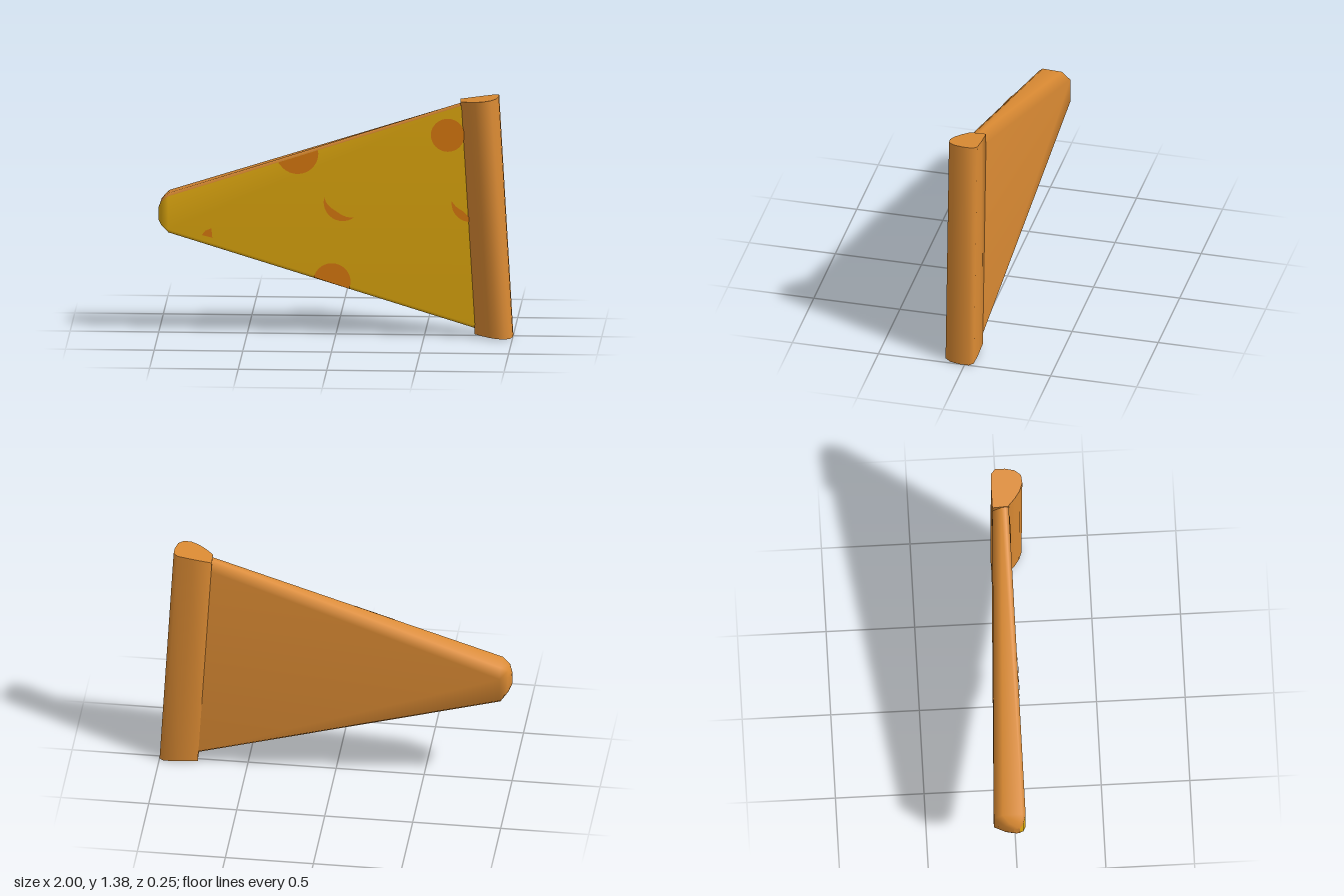
import * as THREE from 'three';

const lerp = THREE.MathUtils.lerp;
const mat = (name, color, extra = {}) => {
  const m = new THREE.MeshStandardMaterial({ color, ...extra });
  m.name = name;
  return m;
};

// Skin a list of equal-length rings; strips listed in `second` get material 1. Ends get flat caps.
function loft(rings, second = []) {
  const n = rings[0].length, pos = rings.flat(2), groups = [[], []];
  for (let j = 0; j < n; j++) {
    const out = groups[second.includes(j) ? 1 : 0];
    for (let i = 0; i < rings.length - 1; i++) {
      const k = (j + 1) % n, a = i * n + j, b = i * n + k, c = a + n, d = b + n;
      out.push(a, b, c, b, d, c);
    }
  }
  for (const last of [false, true]) {
    const base = pos.length / 3;
    pos.push(...rings[last ? rings.length - 1 : 0].flat());
    for (let j = 1; j < n - 1; j++) {
      groups[0].push(base, ...(last ? [base + j, base + j + 1] : [base + j + 1, base + j]));
    }
  }
  const g = new THREE.BufferGeometry();
  g.setAttribute('position', new THREE.Float32BufferAttribute(pos, 3));
  g.setIndex([...groups[0], ...groups[1]]);
  g.addGroup(0, groups[0].length, 0);
  g.addGroup(groups[0].length, groups[1].length, 1);
  g.computeVertexNormals();
  return g;
}

// One cross-section of the slice: x, top, bottom, front, back, bevel scale, slant of the end
function sliceRing(x, t, b, f, k, s, slant = 0) {
  return [
    [t - 0.015 * s, f], [b + 0.022 * s, f],
    [b, f - 0.025 * s], [b + 0.005 * s, k + 0.04 * s],
    [b + 0.035 * s, k], [t - 0.05 * s, k],
    [t - 0.005 * s, k + 0.05 * s], [t, f - 0.02 * s],
  ].map(([y, z]) => [x + (t - y) * slant, y, z]);
}

export function createModel() {
  const group = new THREE.Group();
  const crustMat = mat('bakedCrust', 0xda8a33);
  const cheeseMat = mat('cheese', 0xdea70e);
  const toppingMat = mat('topping', 0xd9790f, { side: THREE.DoubleSide });
  const add = (name, geo, m) => {
    const mesh = new THREE.Mesh(geo, m);
    mesh.name = name;
    group.add(mesh);
  };

  // Wedge with a cheese front and a dough back
  add('slice', loft([
    sliceRing(-1.0, 0.725, 0.65, 0.015, -0.02, 0.3),
    sliceRing(-0.985, 0.77, 0.625, 0.035, -0.07, 0.6),
    sliceRing(-0.945, 0.81, 0.583, 0.05, -0.13, 1),
    sliceRing(0.71, 1.348, 0.045, 0.042, -0.05, 1, 0.068),
  ], [0, 1]), [crustMat, cheeseMat]);

  // Rounded rim, leaning slightly outward toward the bottom
  const profile = [
    [-0.215, 0.038], [-0.17, 0.08], [-0.13, 0.108], [-0.085, 0.125], [-0.04, 0.12],
    [-0.012, 0.085], [0, 0.03], [0, -0.025], [-0.025, -0.048], [-0.11, -0.052], [-0.22, -0.051],
  ];
  const rimRing = (x, y, tilt) => profile.map(([dx, z]) => [x + dx, y + dx * tilt, z]);
  add('crustRim', loft([rimRing(1, 0.003, -0.07), rimRing(0.92, 1.385, 0.14)]), crustMat);

  // Flat toppings lying on the cheese, trimmed at the slice edges
  const topEdge = (x) => 0.795 + (x + 0.945) * 0.325;
  const bottomEdge = (x) => 0.603 - (x + 0.945) * 0.322;
  const topping = (name, pts) => {
    const shape = new THREE.Shape(pts.map(([x, y]) =>
      new THREE.Vector2(x, THREE.MathUtils.clamp(y, bottomEdge(x), topEdge(x)))));
    const g = new THREE.ShapeGeometry(shape), p = g.attributes.position;
    for (let i = 0; i < p.count; i++) {
      p.setZ(i, lerp(0.05, 0.042, (p.getX(i) + 0.945) / 1.655) + 0.004);
    }
    add(name, g, toppingMat);
  };
  const disc = (cx, cy, r) => Array.from({ length: 32 }, (_, i) => {
    const a = i / 32 * Math.PI * 2;
    return [cx + r * Math.cos(a), cy + r * Math.sin(a)];
  });
  const crescent = (cx, cy, r, from, to, width) => {
    const arc = (u, inset) => {
      const a = THREE.MathUtils.degToRad(lerp(from, to, u));
      const q = r - inset * Math.sin(Math.PI * u);
      return [cx + q * Math.cos(a), cy + q * Math.sin(a)];
    };
    const us = Array.from({ length: 13 }, (_, i) => i / 12);
    return [...us.map((u) => arc(u, 0)), ...us.slice(1, -1).reverse().map((u) => arc(u, width))];
  };
  topping('cornerTopping', disc(0.633, 1.163, 0.095));
  topping('upperTopping', disc(-0.215, 1.05, 0.118));
  topping('lowerTopping', disc(-0.02, 0.315, 0.105));
  topping('middleCrescent', crescent(0.04, 0.77, 0.107, 165, 308, 0.045));
  topping('rimCrescent', crescent(0.76, 0.77, 0.105, 172, 288, 0.045));
  topping('tipTopping', [[-0.755, 0.575], [-0.735, 0.6], [-0.7, 0.615], [-0.695, 0.56]]);

  return group;
}
